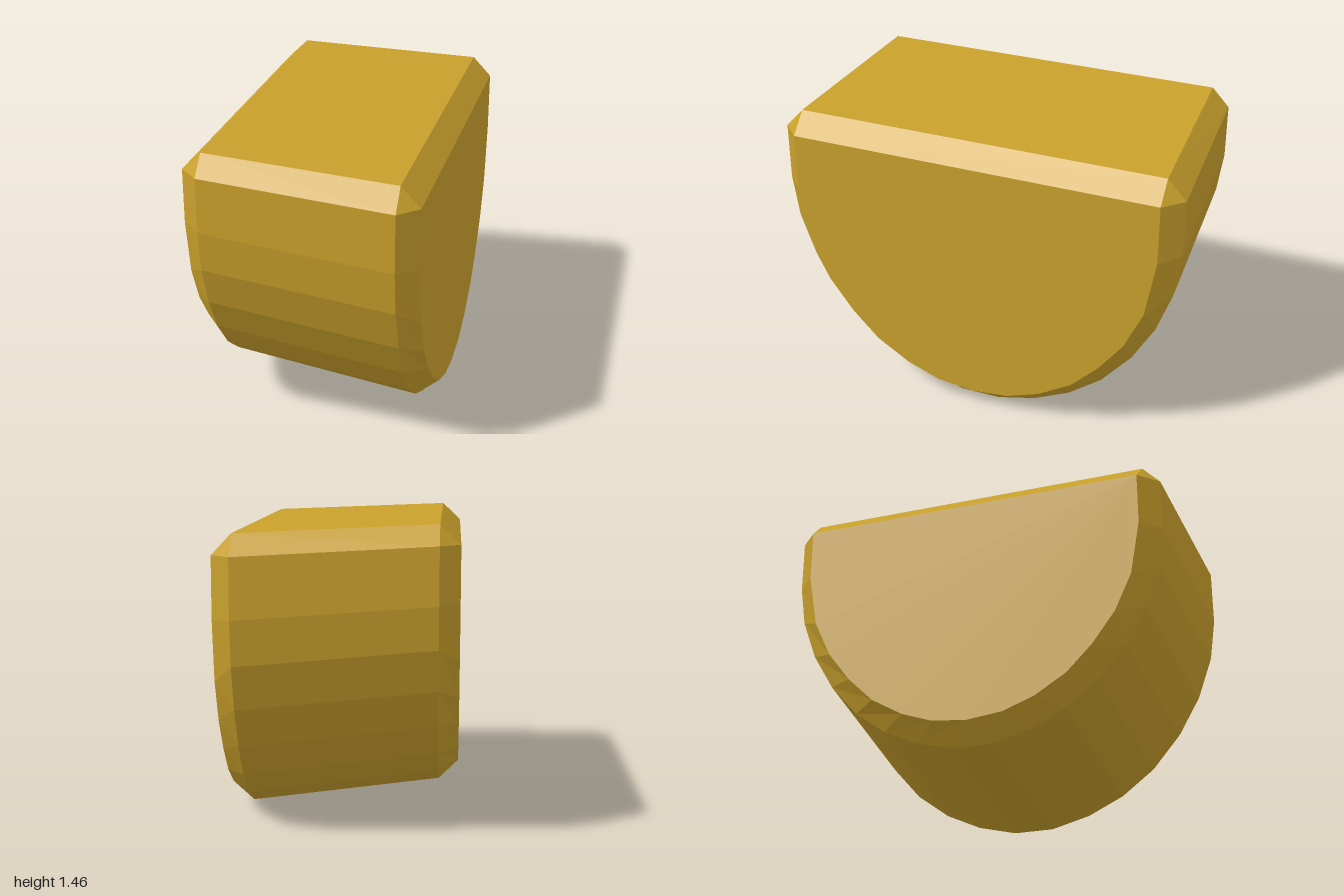
import * as THREE from 'three';

// Half profiles [z, y] from the upper edge down to the keel
const RIM = [[0.91, 1.415], [1, 1.32], [1, 1.04], [0.97, 0.83], [0.895, 0.62], [0.785, 0.43],
  [0.64, 0.26], [0.475, 0.135], [0.295, 0.05], [0.1, 0]];
const END = [[0.91, 1.32], [0.91, 1.32], [0.91, 1.03], [0.86, 0.745], [0.77, 0.55], [0.65, 0.39],
  [0.515, 0.255], [0.35, 0.155], [0.185, 0.095], [0, 0.075]];

// Full closed ring at x: the half profile scaled, lifted and mirrored in z
function ring(half, x, scale, lift, topY, sideY) {
  const pts = half.map(([z, y], i) =>
    new THREE.Vector3(x, i === 0 ? topY : i === 1 ? sideY : y * scale + lift, z * scale));
  const mirrored = pts.map((p) => new THREE.Vector3(p.x, p.y, -p.z)).reverse();
  return [...pts, ...mirrored];
}

// Skin a row of rings (ordered by rising x) and close both ends
function loft(rings) {
  const pos = [];
  const tri = (a, b, c) => {
    if (new THREE.Triangle(a, b, c).getArea() > 1e-6) {
      for (const p of [a, b, c]) pos.push(p.x, p.y, p.z);
    }
  };
  const n = rings[0].length;
  for (let r = 0; r < rings.length - 1; r++) {
    const a = rings[r], b = rings[r + 1];
    for (let i = 0; i < n; i++) {
      const j = (i + 1) % n;
      tri(a[i], a[j], b[j]);
      tri(a[i], b[j], b[i]);
    }
  }
  const first = rings[0], last = rings[rings.length - 1];
  for (let i = 1; i < n - 1; i++) {
    tri(first[0], first[i + 1], first[i]);
    tri(last[0], last[i], last[i + 1]);
  }
  const geo = new THREE.BufferGeometry();
  geo.setAttribute('position', new THREE.Float32BufferAttribute(pos, 3));
  geo.computeVertexNormals();
  return geo;
}

export function createModel() {
  const group = new THREE.Group();
  group.name = 'halfRoundBlock';

  // Tapered half-round block with chamfered edges
  const block = new THREE.Mesh(
    loft([
      ring(END, -0.55, 0.93, 0.15, 1.365, 1.365),
      ring(RIM, -0.457, 0.94, 0.125, 1.455, 1.365),
      ring(RIM, 0.455, 1, 0, 1.415, 1.318),
      ring(END, 0.547, 1, 0, 1.318, 1.318),
    ]),
    new THREE.MeshStandardMaterial({ color: 0xc9a02c, flatShading: true }),
  );
  block.name = 'block';
  group.add(block);
  return group;
}
